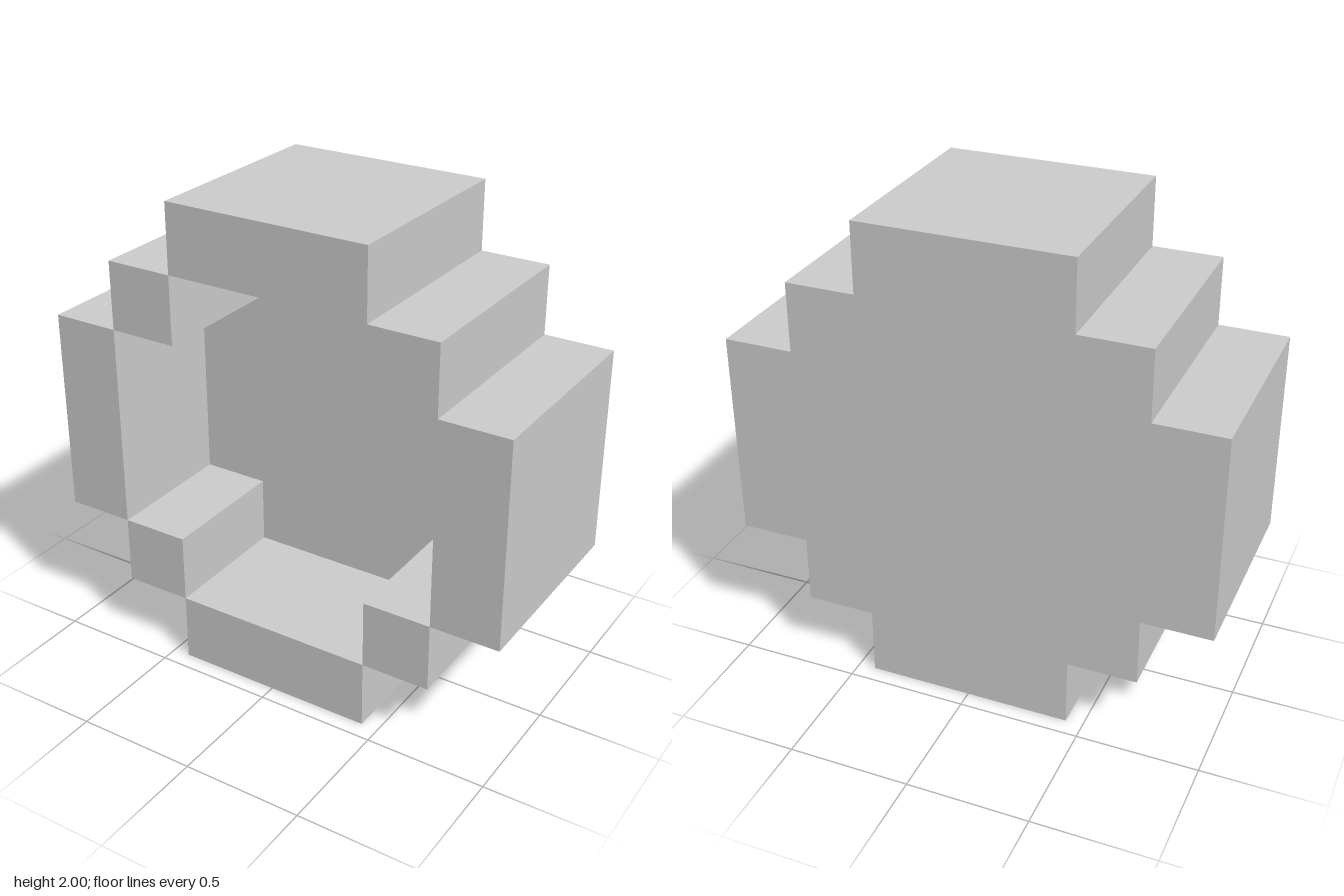
import * as THREE from 'three';

const U = 2 / 7; // one block
const material = new THREE.MeshStandardMaterial({ color: 0xcccccc, flatShading: true });

export function createModel() {
  const group = new THREE.Group();

  function add(name, geometry, x, y, z) {
    const mesh = new THREE.Mesh(geometry, material);
    mesh.name = name;
    mesh.position.set(x * U, y * U, z * U);
    group.add(mesh);
  }

  // Closed back: stepped outline, one block thick
  const quarter = [[3.5, 1.5], [2.5, 1.5], [2.5, 2.5], [1.5, 2.5], [1.5, 3.5]];
  const points = [];
  for (let q = 0; q < 4; q++) {
    const angle = q * Math.PI / 2;
    for (const [x, y] of quarter) {
      points.push(new THREE.Vector2(x * U, y * U).rotateAround(new THREE.Vector2(), angle));
    }
  }
  const back = new THREE.ExtrudeGeometry(new THREE.Shape(points), { depth: U, bevelEnabled: false });
  add('backPanel', back, 0, 3.5, -1.5);

  // Rim: two blocks deep, open at the front
  const flat = new THREE.BoxGeometry(3 * U, U, 2 * U);
  const upright = new THREE.BoxGeometry(U, 3 * U, 2 * U);
  const corner = new THREE.BoxGeometry(U, U, 2 * U);
  add('topWall', flat, 0, 6.5, 0.5);
  add('bottomWall', flat, 0, 0.5, 0.5);
  for (const [side, sx] of [['left', 1], ['right', -1]]) {
    add(side + 'Wall', upright, 3 * sx, 3.5, 0.5);
    add(side + 'UpperCorner', corner, 2 * sx, 5.5, 0.5);
    add(side + 'LowerCorner', corner, 2 * sx, 1.5, 0.5);
  }
  return group;
}
